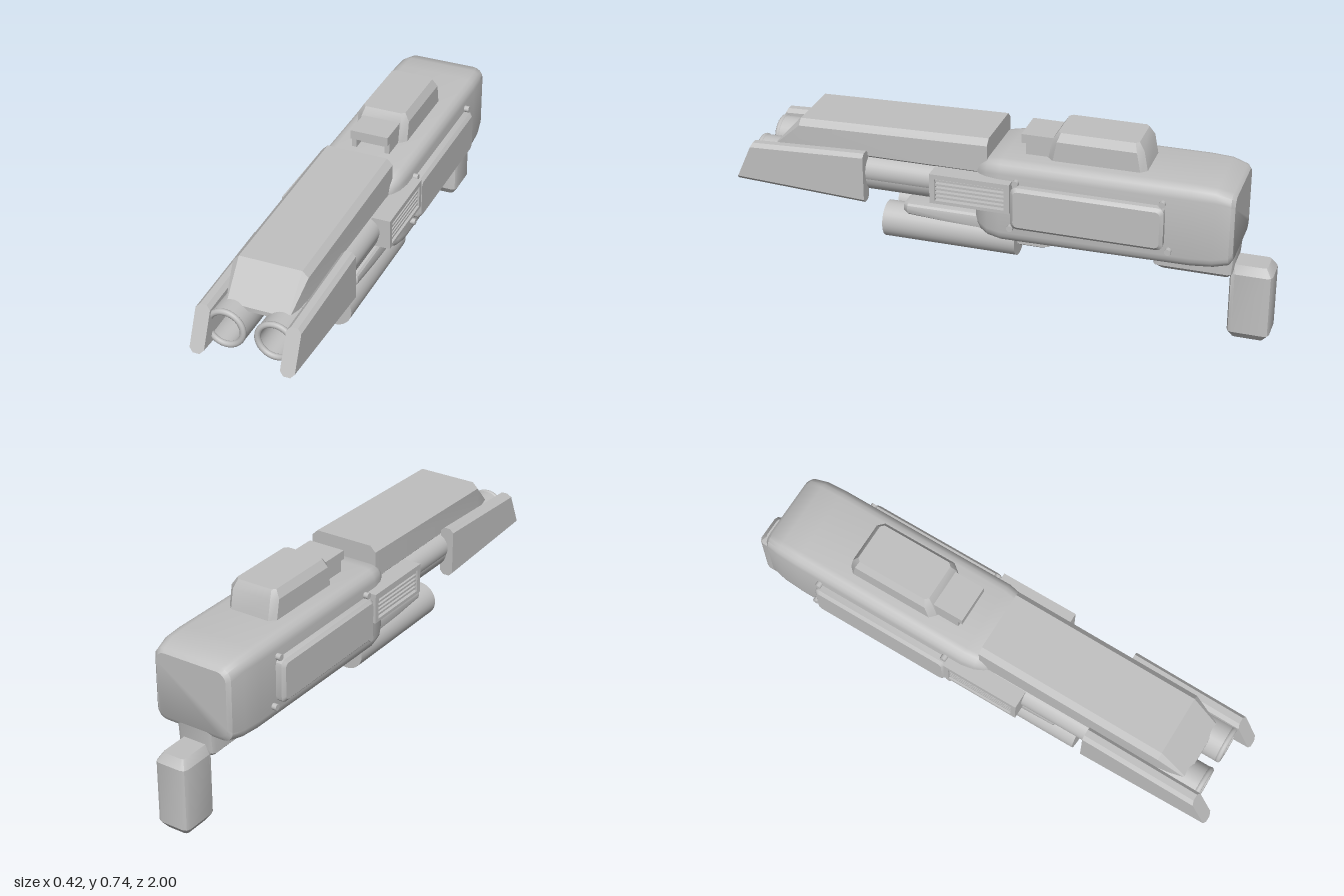
import * as THREE from 'three';
import { toCreasedNormals } from 'three/addons/utils/BufferGeometryUtils.js';

const gray = new THREE.MeshStandardMaterial({ color: 0xc0c0c0 });
gray.name = 'plain gray';

// Loft rounded rectangles [t, x0, x1, y0, y1, corner] along +z; segs = 1 gives chamfered corners
function loft(sections, segs = 1, crease = 0.5) {
  const rings = sections.map(([t, x0, x1, y0, y1, c]) => {
    const ring = [];
    const corners = [[x1 - c, y1 - c], [x0 + c, y1 - c], [x0 + c, y0 + c], [x1 - c, y0 + c]];
    corners.forEach(([cx, cy], k) => {
      for (let i = 0; i <= segs; i++) {
        const a = (k + i / segs) * Math.PI / 2;
        ring.push([cx + c * Math.cos(a), cy + c * Math.sin(a), t]);
      }
    });
    return ring;
  });
  const n = rings[0].length;
  const index = [];
  for (let r = 0; r < rings.length - 1; r++) {
    for (let i = 0; i < n; i++) {
      const j = (i + 1) % n, a = r * n, b = a + n;
      index.push(a + i, a + j, b + j, a + i, b + j, b + i);
    }
  }
  const last = (rings.length - 1) * n;
  for (let i = 1; i < n - 1; i++) {
    index.push(0, i + 1, i, last, last + i, last + i + 1);
  }
  const g = new THREE.BufferGeometry();
  g.setAttribute('position', new THREE.Float32BufferAttribute(rings.flat(2), 3));
  g.setIndex(index);
  return toCreasedNormals(g, crease);
}

// Loft symmetric about x = 0: rows of [t, halfWidth, y0, y1, corner]
const loftSym = (rows, segs, crease) =>
  loft(rows.map(([t, w, y0, y1, c]) => [t, -w, w, y0, y1, c]), segs, crease);

// Stand a symmetric loft upright: rows of [y, halfWidth, zMin, zMax, corner]
const loftUp = (rows, segs, crease) =>
  loftSym(rows.map(([y, w, z0, z1, c]) => [y, w, -z1, -z0, c]), segs, crease).rotateX(-Math.PI / 2);

// Mirror a geometry in x and restore its winding
function mirrorX(geometry) {
  const g = geometry.index ? geometry.toNonIndexed() : geometry.clone();
  g.scale(-1, 1, 1);
  for (const attr of Object.values(g.attributes)) {
    const s = attr.itemSize;
    for (let i = 0; i < attr.count; i += 3) {
      for (let k = 0; k < s; k++) {
        const p = (i + 1) * s + k, q = (i + 2) * s + k;
        [attr.array[p], attr.array[q]] = [attr.array[q], attr.array[p]];
      }
    }
  }
  return g;
}

export function createModel() {
  const model = new THREE.Group();
  model.name = 'blaster';
  const add = (name, g) => {
    const mesh = new THREE.Mesh(g, gray);
    mesh.name = name;
    model.add(mesh);
  };
  const pair = (name, g) => {
    add(name + 'Left', g);
    add(name + 'Right', mirrorX(g));
  };
  const box = (x0, x1, y0, y1, z0, z1) =>
    new THREE.BoxGeometry(x1 - x0, y1 - y0, z1 - z0)
      .translate((x0 + x1) / 2, (y0 + y1) / 2, (z0 + z1) / 2);
  const rod = (r, x, y, z0, z1) =>
    new THREE.CylinderGeometry(r, r, z1 - z0, 32).rotateX(Math.PI / 2).translate(x, y, (z0 + z1) / 2);

  // Main body with softened ends
  add('receiver', loftSym([
    [-0.868, 0.145, 0.355, 0.6, 0.035],
    [-0.855, 0.158, 0.335, 0.613, 0.04],
    [-0.8, 0.168, 0.323, 0.628, 0.042],
    [-0.72, 0.172, 0.316, 0.632, 0.045],
    [-0.02, 0.172, 0.308, 0.63, 0.045],
    [0.03, 0.163, 0.315, 0.622, 0.042],
    [0.062, 0.147, 0.328, 0.608, 0.04],
    [0.08, 0.13, 0.345, 0.59, 0.035],
  ], 4, 0.6));

  // Chamfered cover over the barrels
  add('barrelShroud', loftSym([
    [0.035, 0.137, 0.545, 0.692, 0.022],
    [0.76, 0.137, 0.545, 0.672, 0.022],
    [0.868, 0.115, 0.54, 0.556, 0.004],
  ]));

  // Twin hollow barrels with a rolled muzzle
  const barrel = new THREE.LatheGeometry([
    [0.073, 0], [0.073, 0.84], [0.056, 0.84], [0.054, 0.72], [0.03, 0.69], [0, 0.68],
  ].map(([r, t]) => new THREE.Vector2(r, t)), 32);
  pair('barrel', toCreasedNormals(barrel, 0.6).rotateX(Math.PI / 2).translate(0.09, 0.493, 0.08));
  pair('muzzleRing', new THREE.TorusGeometry(0.064, 0.011, 10, 32).translate(0.09, 0.495, 0.925));
  pair('sideTube', rod(0.054, 0.114, 0.508, 0.1, 0.8));

  // Slanted side guards
  const guard = loft([
    [0.492, 0.137, 0.19, 0.397, 0.593, 0.014],
    [1, 0.137, 0.19, 0.422, 0.574, 0.014],
  ]);
  const gp = guard.attributes.position;
  for (let i = 0; i < gp.count; i++) {
    if (gp.getZ(i) > 0.9) gp.setZ(i, 1 - (gp.getY(i) - 0.422) * 0.45);
  }
  pair('sideGuard', toCreasedNormals(guard, 0.3));

  // Side vents: frame, backing and slats
  const frame = new THREE.Shape([[-0.23, 0.45], [0.07, 0.45], [0.07, 0.565], [-0.23, 0.565]]
    .map((p) => new THREE.Vector2(...p)));
  frame.holes.push(new THREE.Path([[-0.21, 0.462], [-0.21, 0.547], [0.05, 0.547], [0.05, 0.462]]
    .map((p) => new THREE.Vector2(...p))));
  pair('ventFrame', new THREE.ExtrudeGeometry(frame, { depth: 0.07, bevelEnabled: false })
    .rotateY(Math.PI / 2).translate(0.138, 0, 0));
  pair('ventBacking', box(0.13, 0.186, 0.455, 0.555, -0.06, 0.22));
  for (let i = 0; i < 5; i++) {
    const y = 0.469 + i * 0.0165;
    pair('ventSlat' + (i + 1), box(0.18, 0.202, y, y + 0.008, -0.055, 0.215));
  }

  // Raised side panels and their bolts
  pair('sidePanel', loft([
    [0.16, 0.07, 0.628, 0.388, 0.552, 0.022],
    [0.195, 0.07, 0.628, 0.388, 0.552, 0.022],
    [0.206, 0.082, 0.616, 0.4, 0.54, 0.016],
  ], 3).rotateY(Math.PI / 2));
  [[-0.085, 0.562], [-0.065, 0.381], [-0.618, 0.562], [-0.645, 0.381]].forEach(([z, y], i) => {
    pair('bolt' + (i + 1), new THREE.CylinderGeometry(0.012, 0.012, 0.04, 12)
      .rotateZ(Math.PI / 2).translate(0.17, y, z));
  });

  // Sight block and stepped front piece
  add('sightBlock', loftUp([
    [0.6, 0.1, -0.545, -0.17, 0.022],
    [0.705, 0.1, -0.525, -0.19, 0.022],
    [0.735, 0.082, -0.505, -0.21, 0.012],
  ]));
  add('sightHood', box(-0.073, 0.073, 0.672, 0.706, -0.22, -0.073));
  pair('sightLeg', box(0.055, 0.073, 0.62, 0.68, -0.22, -0.09));
  add('sightBase', box(-0.06, 0.06, 0.62, 0.68, -0.22, -0.13));

  // Underslung cradle, canisters and rear plate
  add('cradle', loftSym([
    [-0.15, 0.135, 0.3, 0.392, 0.02],
    [0.05, 0.135, 0.32, 0.392, 0.02],
    [0.345, 0.135, 0.345, 0.392, 0.018],
    [0.362, 0.122, 0.352, 0.386, 0.012],
  ], 3));
  pair('canister', rod(0.067, 0.083, 0.297, -0.07, 0.44));
  add('cradlePlate', loftUp([
    [0.27, 0.09, -0.185, 0.08, 0.035],
    [0.28, 0.105, -0.2, 0.09, 0.045],
    [0.33, 0.105, -0.2, 0.09, 0.045],
  ], 4));

  // Rear grip mount and grip
  add('undersideStrip', loftSym([
    [-0.6, 0.05, 0.295, 0.33, 0.008],
    [-0.44, 0.05, 0.305, 0.33, 0.008],
  ]));
  add('gripMount', loftUp([
    [0.247, 0.06, -0.845, -0.59, 0.015],
    [0.263, 0.075, -0.858, -0.567, 0.02],
    [0.36, 0.075, -0.866, -0.567, 0.02],
  ], 2));
  add('grip', loftUp([
    [0, 0.045, -0.978, -0.862, 0.012],
    [0.028, 0.064, -1, -0.845, 0.02],
    [0.265, 0.064, -1, -0.845, 0.02],
    [0.296, 0.045, -0.978, -0.85, 0.012],
  ], 2));

  return model;
}
